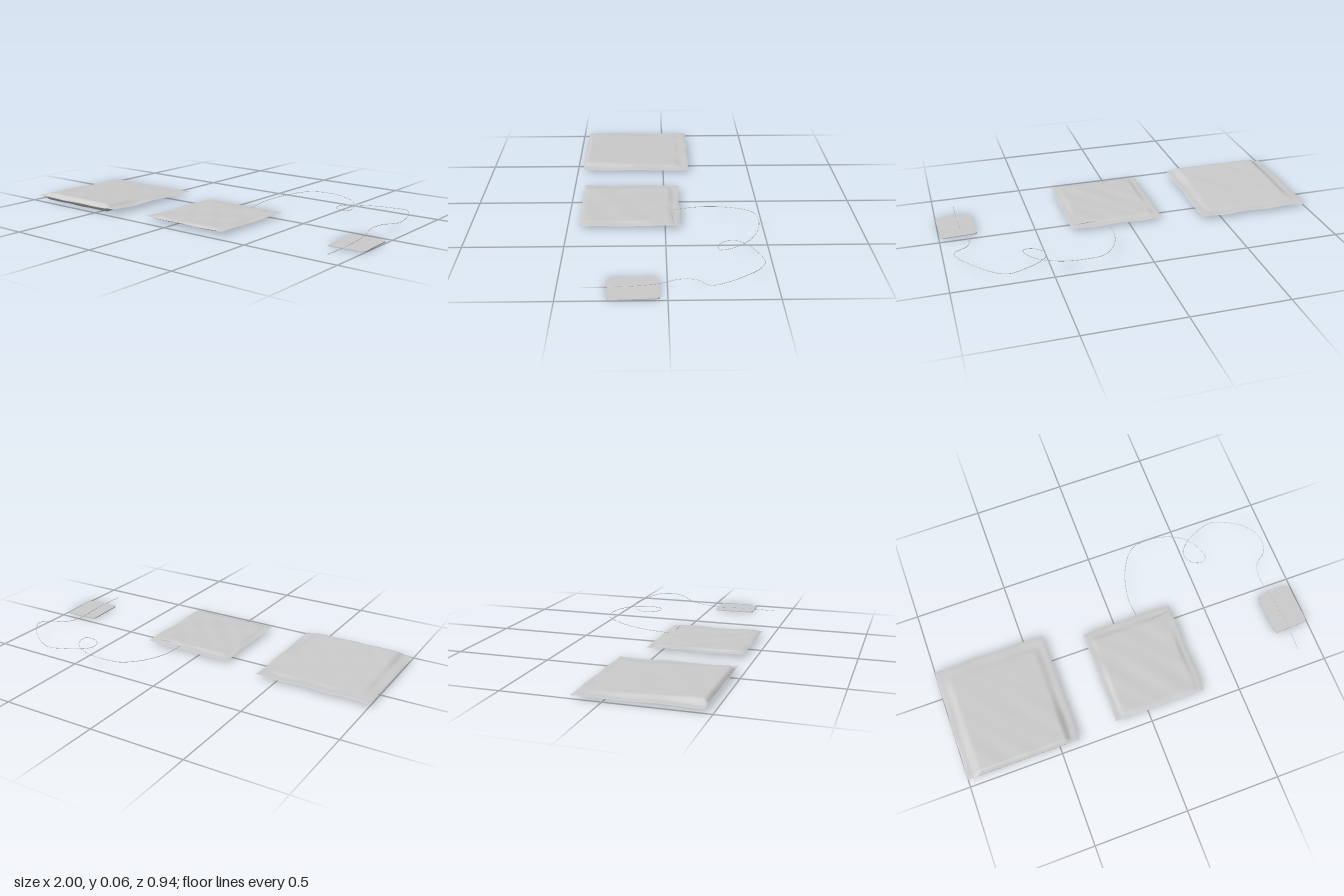
import * as THREE from 'three';

const material = new THREE.MeshStandardMaterial({ color: 0xcccccc, side: THREE.DoubleSide });
const { smoothstep, lerp } = THREE.MathUtils;

function addMesh(parent, geometry, name) {
  const mesh = new THREE.Mesh(geometry, material);
  mesh.name = name;
  parent.add(mesh);
  return mesh;
}

// Sealed pouch: two sheets meeting at a flat wavy rim and swelling inside it.
function pouch(name, p) {
  const group = new THREE.Group();
  group.name = name;
  const [x0, x1, z0, z1] = p.bounds;
  for (const side of [1, -1]) {
    const geo = new THREE.PlaneGeometry(x1 - x0, z1 - z0, 64, 64);
    geo.rotateX(-Math.PI / 2);
    geo.translate((x0 + x1) / 2, 0, (z0 + z1) / 2);
    const pos = geo.attributes.position;
    for (let i = 0; i < pos.count; i++) {
      const x = pos.getX(i), z = pos.getZ(i);
      const t = (z - z0) / (z1 - z0);
      const dx = Math.min(x - x0, x1 - x), back = z - z0, front = z1 - z;
      // Swelling starts inside the side and back seams and at the front fold
      const body = smoothstep(dx, p.sideSeam * 0.7, p.sideSeam * 1.5)
        * smoothstep(back, p.backSeam * 0.8, p.backSeam * 1.6)
        * smoothstep(front, p.frontSeam * -0.3, p.frontSeam);
      const half = lerp(p.backHalf, p.frontHalf, t);
      const dents = 1 + p.dent * (Math.sin(x * 23 + z * 9) * Math.sin(z * 21 - x * 7)
        + 0.5 * Math.sin(x * 41 - z * 33)) - p.dent;
      const rim = 0.0015 * smoothstep(Math.min(dx, back, front), 0, 0.01);
      const wave = 0.0025 * (1 - body) * (Math.sin(z * 19 + x * 3) + 0.6 * Math.sin(x * 27 + z));
      const y = lerp(p.backY, p.frontY, t) + wave + side * (rim + half * body * dents);
      // Slightly uneven outline
      const px = x + 0.002 * Math.sin(z * 24) * (1 - body);
      const pz = z + 0.003 * Math.sin(x * 26) * (1 - body) * (1 - t);
      pos.setXYZ(i, px, y, pz);
    }
    if (side < 0) { // turn the underside outward
      const idx = geo.index.array;
      for (let i = 0; i < idx.length; i += 3) [idx[i], idx[i + 1]] = [idx[i + 1], idx[i]];
    }
    geo.computeVertexNormals();
    addMesh(group, geo, side > 0 ? name + 'Top' : name + 'Bottom');
  }
  return group;
}

function tube(points, radius, segments) {
  const curve = new THREE.CatmullRomCurve3(points.map((p) => new THREE.Vector3(...p)));
  return new THREE.TubeGeometry(curve, segments, radius, 6);
}

export function createModel() {
  const model = new THREE.Group();
  model.name = 'teaBagSet';

  // Outer paper envelope
  model.add(pouch('envelope', {
    bounds: [-1, -0.39, -0.15, 0.465], sideSeam: 0.05, backSeam: 0.05, frontSeam: 0.02,
    backHalf: 0.003, frontHalf: 0.0205, backY: 0.016, frontY: 0.023, dent: 0.05,
  }));

  // Tea bag
  model.add(pouch('teaBag', {
    bounds: [-0.18, 0.32, -0.08, 0.44], sideSeam: 0.035, backSeam: 0.04, frontSeam: 0.03,
    backHalf: 0.005, frontHalf: 0.009, backY: 0.016, frontY: 0.018, dent: 0.18,
  }));

  // Crease beside the string on the bag's top seam
  addMesh(model, tube([[0.17, 0.018, -0.03], [0.23, 0.021, -0.036], [0.3, 0.018, -0.04]],
    0.003, 16), 'seamCrease');

  // String with one loose loop, ending past the tag
  addMesh(model, tube([
    [0.13, 0.018, -0.05], [0.124, 0.03, -0.2], [0.165, 0.043, -0.35], [0.24, 0.054, -0.45],
    [0.33, 0.058, -0.471], [0.45, 0.056, -0.455], [0.55, 0.051, -0.4], [0.605, 0.043, -0.32],
    [0.612, 0.036, -0.26], [0.57, 0.033, -0.25], [0.52, 0.032, -0.285], [0.51, 0.032, -0.34],
    [0.55, 0.033, -0.39], [0.63, 0.033, -0.435], [0.72, 0.033, -0.46], [0.8, 0.043, -0.43],
    [0.89, 0.061, -0.36], [0.943, 0.058, -0.27], [0.938, 0.038, -0.19], [0.873, 0.029, -0.13],
    [0.855, 0.022, -0.06], [0.87, 0.008, 0.04], [0.885, 0.006, 0.15], [0.89, 0.005, 0.27],
    [0.888, 0.003, 0.4],
  ], 0.0015, 220), 'string');

  // Rounded paper tag
  const w = 0.095, h = 0.117, r = 0.02;
  const shape = new THREE.Shape();
  shape.moveTo(-w + r, -h);
  shape.absarc(w - r, -h + r, r, -Math.PI / 2, 0);
  shape.absarc(w - r, h - r, r, 0, Math.PI / 2);
  shape.absarc(-w + r, h - r, r, Math.PI / 2, Math.PI);
  shape.absarc(-w + r, -h + r, r, Math.PI, Math.PI * 1.5);
  const tagGeo = new THREE.ExtrudeGeometry(shape, { depth: 0.005, bevelEnabled: false, curveSegments: 6 });
  tagGeo.rotateX(-Math.PI / 2);
  const tag = addMesh(model, tagGeo, 'tag');
  tag.position.set(0.9, 0, 0.155);
  tag.rotation.y = 0.045;

  return model;
}
